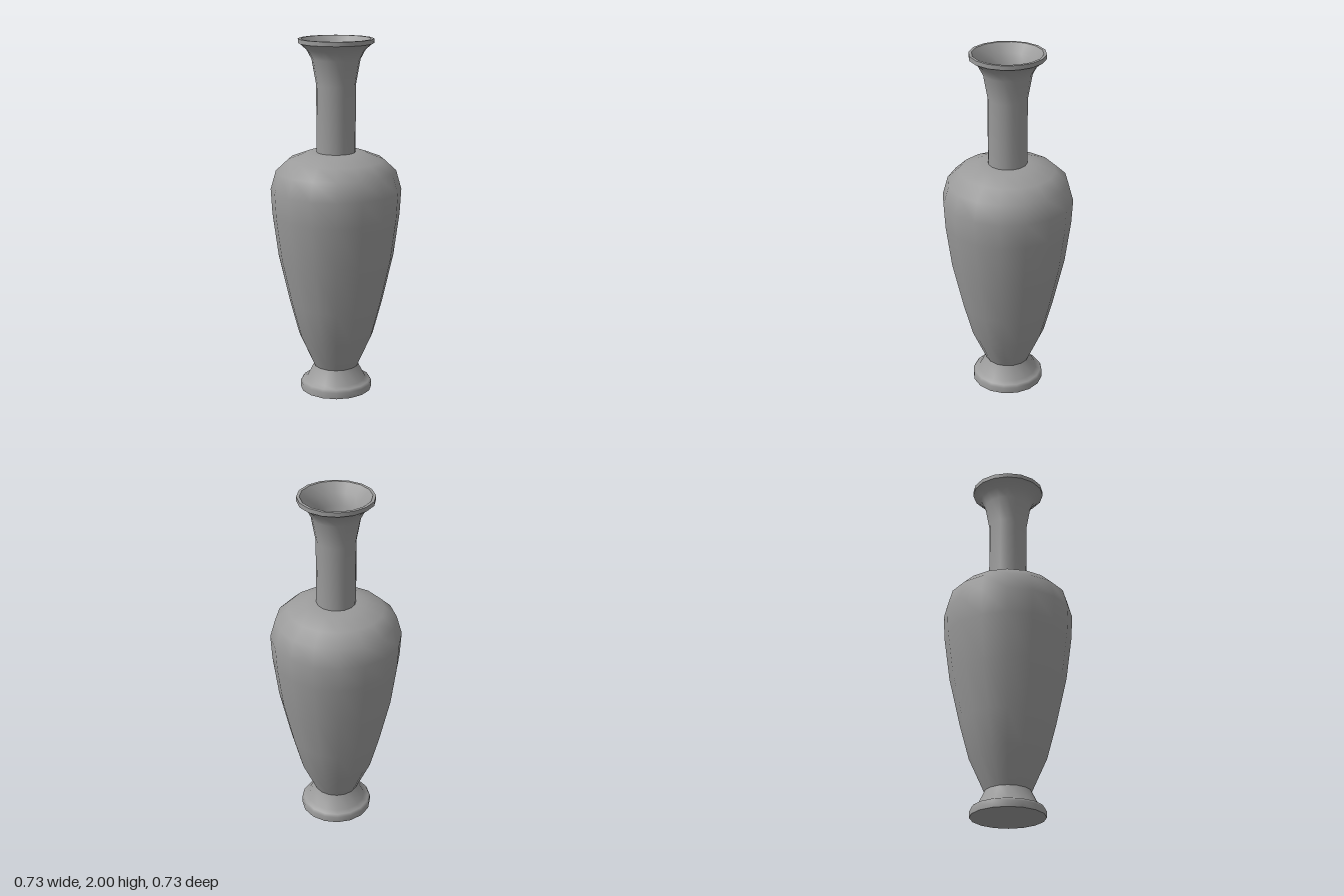
import * as THREE from 'three';

const SIDES = 16;

export function createModel() {
  const vase = new THREE.Group();
  vase.name = 'vase';
  const material = new THREE.MeshStandardMaterial({ color: 0x9b9b9b });

  // Each section is smooth in itself; edges stay sharp where sections meet.
  const addSection = (name, profile) => {
    const points = profile.map(([r, y]) => new THREE.Vector2(r, y));
    const mesh = new THREE.Mesh(new THREE.LatheGeometry(points, SIDES), material);
    mesh.name = name;
    vase.add(mesh);
  };

  // Foot
  addSection('footUnderside', [[0, 0], [0.204, 0]]);
  addSection('foot', [
    [0.204, 0], [0.204, 0.035], [0.194, 0.05], [0.168, 0.06], [0.127, 0.14],
  ]);

  // Body, swelling up to the rounded shoulder
  addSection('body', [
    [0.127, 0.14], [0.21, 0.325], [0.262, 0.52], [0.323, 0.79], [0.355, 1.03],
    [0.363, 1.17], [0.333, 1.275], [0.265, 1.338], [0.168, 1.376], [0.108, 1.38],
  ]);

  // Neck, flaring out to the lip
  addSection('neck', [
    [0.108, 1.38], [0.108, 1.75], [0.133, 1.89], [0.16, 1.94], [0.194, 1.97], [0.206, 1.976],
  ]);
  addSection('lipEdge', [[0.206, 1.976], [0.206, 2]]);
  addSection('lipTop', [[0.206, 2], [0.19, 2]]);

  // Hollow inside of the mouth and neck, run downwards so it faces inwards
  addSection('neckInside', [
    [0.19, 2], [0.15, 1.95], [0.121, 1.89], [0.092, 1.75], [0.092, 1.384],
  ]);
  addSection('neckLedge', [[0.092, 1.384], [0.083, 1.38]]);
  addSection('neckFloor', [[0.083, 1.38], [0, 1.38]]);

  return vase;
}
